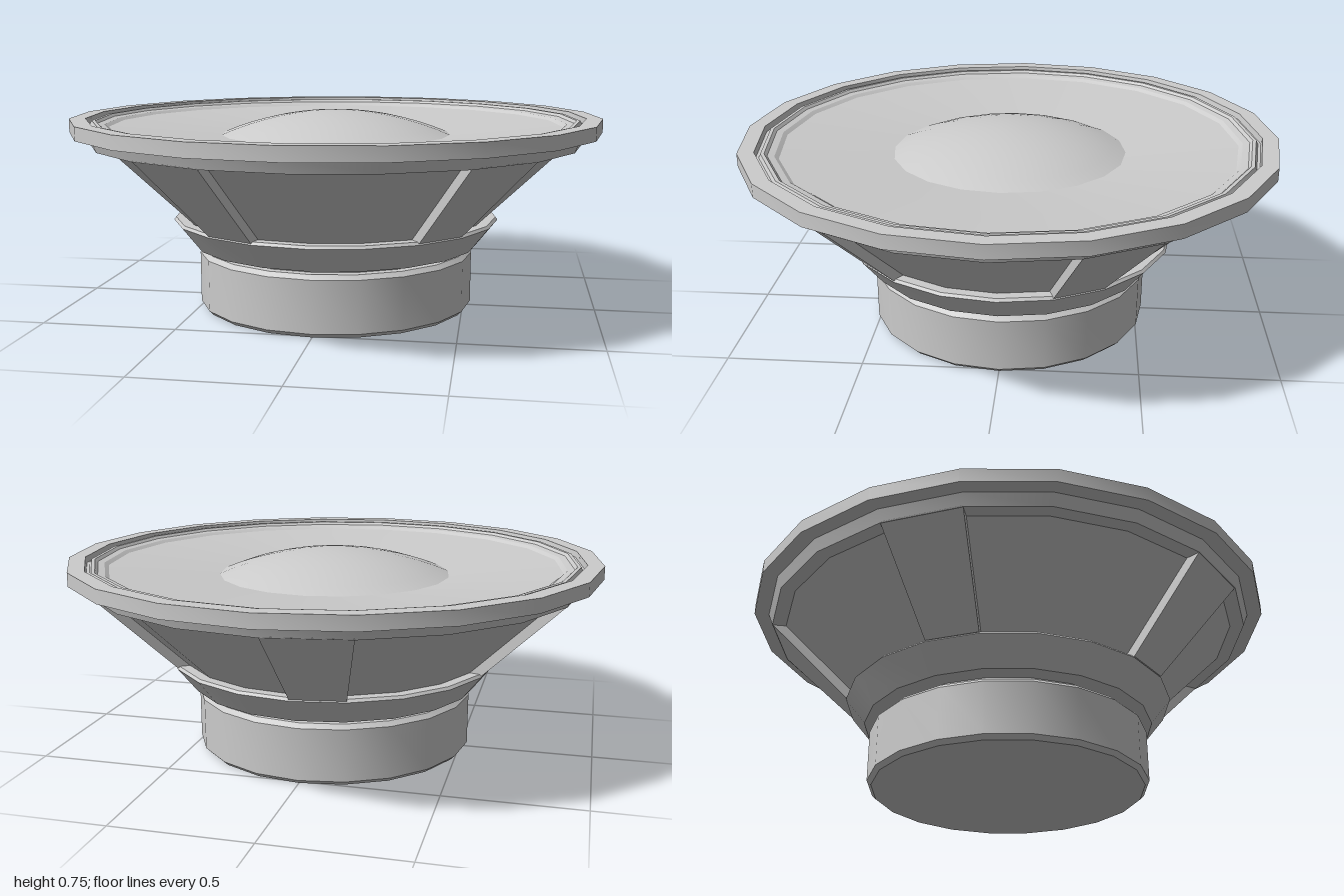
import * as THREE from 'three';
import { toCreasedNormals } from 'three/addons/utils/BufferGeometryUtils.js';
import { ConvexGeometry } from 'three/addons/geometries/ConvexGeometry.js';

const SIDES = 20;
const STEP = (Math.PI * 2) / SIDES;
const material = new THREE.MeshStandardMaterial({ color: 0xcccccc });

// Revolved part: profile runs bottom to top as [radius, y]
function turned(name, profile) {
  const points = profile.map(([r, y]) => new THREE.Vector2(r, y));
  const geometry = toCreasedNormals(new THREE.LatheGeometry(points, SIDES), 0.42);
  const mesh = new THREE.Mesh(geometry, material);
  mesh.name = name;
  return mesh;
}

// Basket rib: one facet wide, sloping from the lower ring to the flange
function rib(angle) {
  const section = [[0.625, 0.345], [0.93, 0.64], [0.86, 0.64], [0.55, 0.345]];
  const points = [];
  for (const a of [angle, angle + STEP]) {
    for (const [r, y] of section) points.push(new THREE.Vector3(r * Math.sin(a), y, r * Math.cos(a)));
  }
  const mesh = new THREE.Mesh(new ConvexGeometry(points), material);
  mesh.name = 'basketRib';
  return mesh;
}

export function createModel() {
  const model = new THREE.Group();
  model.name = 'loudspeaker';

  // Magnet with bevelled edges, and the plate above it
  model.add(turned('magnet', [[0, 0], [0.512, 0], [0.528, 0.016], [0.528, 0.209], [0.512, 0.225], [0, 0.225]]));
  model.add(turned('topPlate', [[0.48, 0.22], [0.48, 0.25]]));

  // Basket: lower ring, five ribs between the windows, mounting flange
  const basket = new THREE.Group();
  basket.name = 'basket';
  basket.add(turned('lowerRing', [[0.4, 0.245], [0.55, 0.245], [0.625, 0.34], [0.617, 0.35], [0.55, 0.35]]));
  for (let i = 0; i < 5; i++) basket.add(rib(STEP * (2 + i * 4)));
  basket.add(turned('flange', [
    [0.85, 0.636], [0.928, 0.636], [0.945, 0.68], [1, 0.68], [1, 0.73], [0.94, 0.73], [0.935, 0.705],
  ]));
  model.add(basket);

  // Cone back seen through the windows
  model.add(turned('coneBack', [[0.563, 0.335], [0.885, 0.645]]));

  // Surround and shallow cone front
  model.add(turned('surround', [
    [0.937, 0.708], [0.925, 0.708], [0.918, 0.722], [0.905, 0.722], [0.895, 0.712], [0.87, 0.708], [0.855, 0.698],
  ]));
  model.add(turned('coneFront', [[0.855, 0.698], [0.43, 0.66]]));

  // Domed dust cap
  const dome = [];
  const radius = 1.12;
  for (let i = 8; i >= 0; i--) {
    const r = (0.44 * i) / 8;
    dome.push([r, 0.75 - radius + Math.sqrt(radius * radius - r * r)]);
  }
  model.add(turned('dustCap', dome));

  return model;
}
